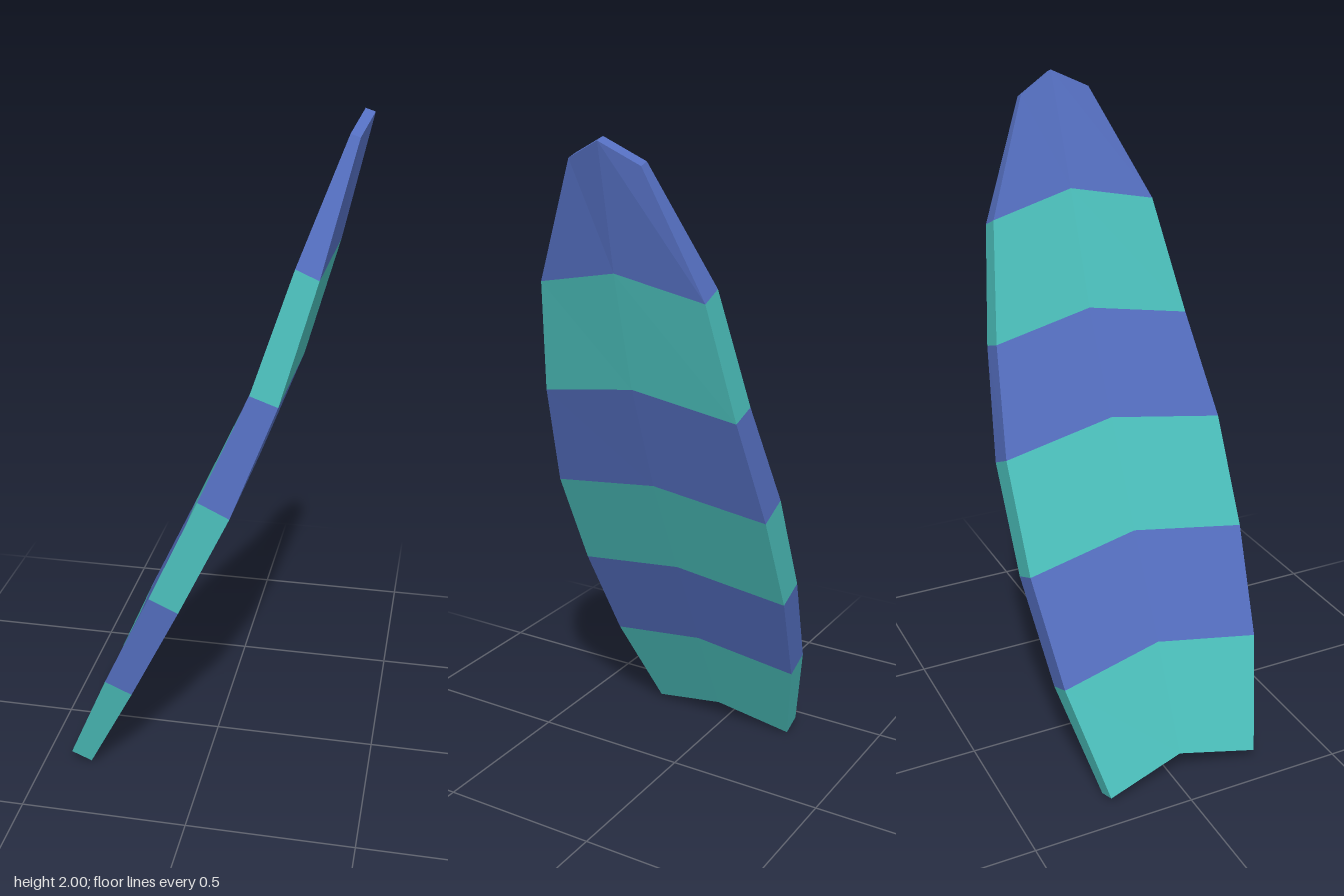
import * as THREE from 'three';

const TEAL = 0x4bbfbb, BLUE = 0x546ebf;

// Cross-sections from tail to nose:
// [bottom x, bottom y, deck x, deck y, left z, middle z, right z]
const SECTIONS = [
  [-0.352, 0.012, -0.415, 0.038, 0.265, 0.02, -0.225],
  [-0.197, 0.322, -0.278, 0.357, 0.334, 0.012, -0.308],
  [-0.047, 0.629, -0.133, 0.668, 0.355, 0.003, -0.348],
  [0.1, 0.94, 0.01, 0.983, 0.348, -0.004, -0.355],
  [0.222, 1.26, 0.143, 1.288, 0.298, -0.012, -0.322],
  [0.315, 1.597, 0.25, 1.625, 0.235, -0.02, -0.277],
  [0.392, 1.941, 0.365, 1.95, 0.079, -0.028, -0.136],
];
const RISE_X = 0.027, RISE_Y = 0.05; // chevron offset along the centre line
const TILT_X = -0.005, TILT_Y = -0.009; // right edge sits slightly lower

// Six points per section: deck left, middle, right, then bottom right, middle, left
function ring([bx, by, dx, dy, zl, zm, zr]) {
  const three = (x, y) => [
    [x, y, zl],
    [x + RISE_X, y + RISE_Y, zm],
    [x + TILT_X, y + TILT_Y, zr],
  ];
  return [...three(dx, dy), ...three(bx, by).reverse()];
}

function band(lower, upper, capTail, capNose) {
  const pos = [];
  const quad = (a, b, c, d) => pos.push(...a, ...b, ...c, ...a, ...c, ...d);
  for (let i = 0; i < 6; i++) {
    const j = (i + 1) % 6;
    quad(lower[i], upper[i], upper[j], lower[j]);
  }
  // end caps, split along the centre line
  for (const [a, b, c, d] of [[0, 1, 4, 5], [1, 2, 3, 4]]) {
    if (capTail) quad(lower[a], lower[b], lower[c], lower[d]);
    if (capNose) quad(upper[d], upper[c], upper[b], upper[a]);
  }
  const geo = new THREE.BufferGeometry();
  geo.setAttribute('position', new THREE.Float32BufferAttribute(pos, 3));
  geo.computeVertexNormals();
  return geo;
}

export function createModel() {
  const board = new THREE.Group();
  board.name = 'surfboard';
  const materials = [TEAL, BLUE].map(
    (color) => new THREE.MeshStandardMaterial({ color, flatShading: true }));
  const rings = SECTIONS.map(ring);
  const last = rings.length - 2;
  // alternating chevron stripes
  for (let i = 0; i <= last; i++) {
    const mesh = new THREE.Mesh(
      band(rings[i], rings[i + 1], i === 0, i === last), materials[i % 2]);
    mesh.name = i === 0 ? 'tailStripe' : i === last ? 'noseStripe' : `stripe${i}`;
    board.add(mesh);
  }
  return board;
}
